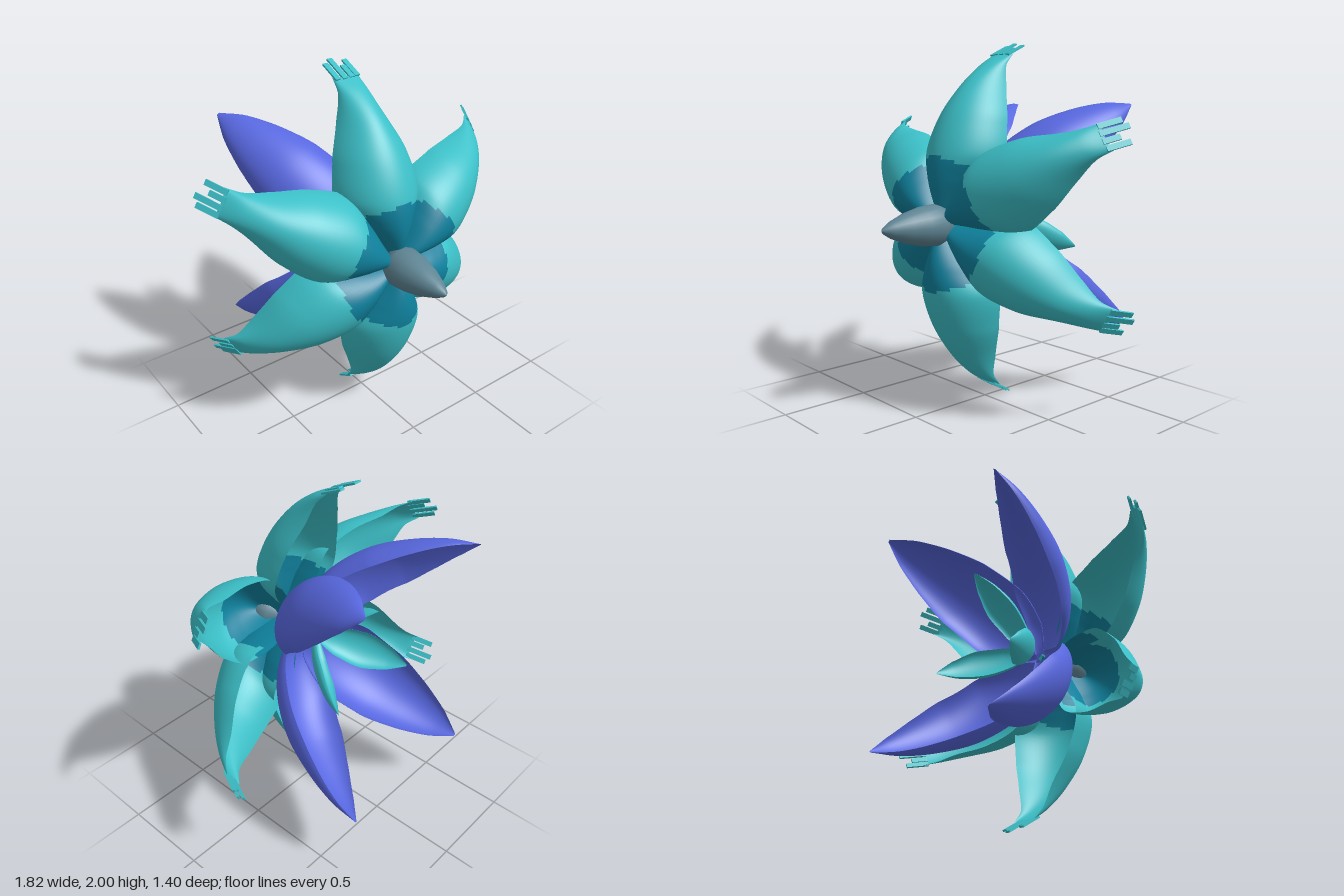
import * as THREE from 'three';

const mat = (name, color) => {
  const m = new THREE.MeshStandardMaterial({ color, side: THREE.DoubleSide });
  m.name = name;
  return m;
};

// Cupped petal: rows of [radius, z, cup depth, half width]; the cup opens toward dir (y, z).
// Faces nearer the flower axis than darkRadius go into a second material group.
function petalGeometry(rows, dir, darkRadius = 0) {
  const ridge = new THREE.CatmullRomCurve3(rows.map(r => new THREE.Vector3(0, r[0], r[1])));
  const size = new THREE.CatmullRomCurve3(rows.map(r => new THREE.Vector3(r[2], r[3], 0)));
  const N = 56, M = 28, pos = [], main = [], dark = [];
  for (let i = 0; i <= N; i++) {
    const p = ridge.getPoint(i / N), s = size.getPoint(i / N);
    for (let j = 0; j <= M; j++) {
      const a = (j / M - 0.5) * Math.PI;
      const d = Math.max(s.x, 0) * (1 - Math.cos(a));
      pos.push(Math.max(s.y, 0) * Math.sin(a), p.y + dir[0] * d, p.z + dir[1] * d);
    }
  }
  for (let i = 0; i < N; i++) {
    for (let j = 0; j < M; j++) {
      const a = i * (M + 1) + j, b = a + 1, c = b + M + 1, d = a + M + 1;
      const x = (pos[a * 3] + pos[c * 3]) / 2, y = (pos[a * 3 + 1] + pos[c * 3 + 1]) / 2;
      (Math.hypot(x, y) < darkRadius ? dark : main).push(a, b, c, a, c, d);
    }
  }
  const g = new THREE.BufferGeometry();
  g.setAttribute('position', new THREE.Float32BufferAttribute(pos, 3));
  g.setIndex([...main, ...dark]);
  g.addGroup(0, main.length, 0);
  if (dark.length) g.addGroup(main.length, dark.length, 1);
  g.computeVertexNormals();
  return g;
}

export function createModel() {
  const teal = mat('teal', 0x3cc0c8);
  const deepTeal = mat('deepTeal', 0x0f819d);
  const violet = mat('violet', 0x5868e0);
  const slate = mat('slate', 0x5f8594);

  const model = new THREE.Group();
  model.name = 'flower';
  const flower = new THREE.Group();
  flower.name = 'blossom';
  flower.position.y = 1.03;
  model.add(flower);

  // Pointed centre cone
  const profile = [[0, 0.25], [0.09, 0.3], [0.112, 0.36], [0.104, 0.45], [0.08, 0.55], [0.045, 0.64], [0.018, 0.685], [0, 0.7]];
  const cone = new THREE.Mesh(
    new THREE.LatheGeometry(profile.map(p => new THREE.Vector2(...p)), 24).rotateX(Math.PI / 2), slate);
  cone.name = 'centreCone';
  flower.add(cone);

  // Six front petals with fringed tips, every other one tilted further back
  const pivotZ = 0.3;
  const frontGeo = petalGeometry([
    [0, 0.3, 0.1, 0.01], [0.1, 0.365, 0.24, 0.075], [0.23, 0.4, 0.3, 0.165], [0.38, 0.395, 0.29, 0.235],
    [0.58, 0.33, 0.25, 0.2], [0.76, 0.215, 0.18, 0.125], [0.88, 0.09, 0.08, 0.085], [0.95, -0.02, 0.025, 0.075],
  ], [0, -1], 0.355).translate(0, 0, -pivotZ);
  const fringe = [[-0.06, 0.11], [-0.02, 0.14], [0.022, 0.075], [0.06, 0.11]];
  for (let k = 0; k < 6; k++) {
    const petal = new THREE.Group();
    petal.name = 'frontPetal';
    petal.position.z = pivotZ;
    petal.rotation.order = 'ZXY';
    petal.rotation.z = k * Math.PI / 3;
    petal.rotation.x = k % 2 ? 0 : -0.105;
    const blade = new THREE.Mesh(frontGeo, [teal, deepTeal]);
    blade.name = 'frontPetalBlade';
    petal.add(blade);
    for (const [x, len] of fringe) {
      const strip = new THREE.Mesh(
        new THREE.BoxGeometry(0.03, len + 0.02, 0.01).translate(0, len / 2 - 0.01, 0), teal);
      strip.name = 'petalFringe';
      strip.position.set(x, 0.95, -0.02 - pivotZ - 2.5 * x * x);
      strip.rotation.x = -1.04;
      petal.add(strip);
    }
    flower.add(petal);
  }

  // Four long violet petals sweeping to the back
  const rearGeo = petalGeometry([
    [0.02, 0.09, 0.03, 0.04], [0.2, 0.1, 0.11, 0.15], [0.42, -0.01, 0.17, 0.225], [0.58, -0.17, 0.17, 0.215],
    [0.69, -0.37, 0.12, 0.16], [0.755, -0.55, 0.06, 0.09], [0.78, -0.7, 0.0, 0.008],
  ], [-0.73, -0.68]);
  for (const angle of [54.5, 125.5, 234.5, 305.5]) {
    const petal = new THREE.Mesh(rearGeo, violet);
    petal.name = 'rearPetal';
    petal.rotation.z = THREE.MathUtils.degToRad(angle - 90);
    flower.add(petal);
  }

  // Three small teal petals at the back
  const smallGeo = petalGeometry([
    [0, 0, 0.01, 0.02], [0.12, -0.08, 0.05, 0.08], [0.22, -0.19, 0.06, 0.1],
    [0.3, -0.32, 0.04, 0.065], [0.335, -0.43, 0, 0.006],
  ], [-0.78, -0.62]);
  for (let k = 0; k < 3; k++) {
    const petal = new THREE.Mesh(smallGeo, teal);
    petal.name = 'smallRearPetal';
    petal.rotation.z = k * Math.PI * 2 / 3;
    flower.add(petal);
  }
  return model;
}
